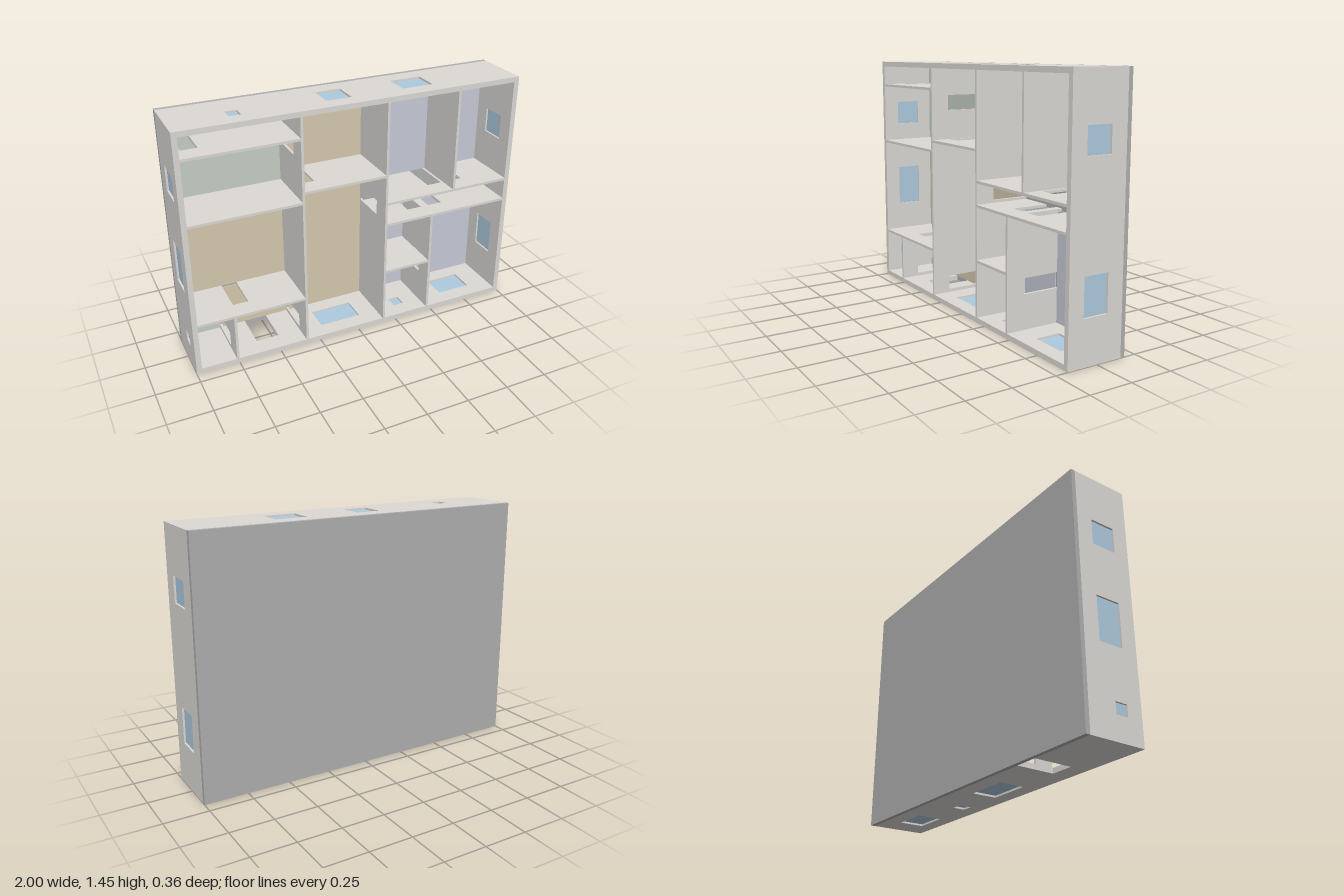
import * as THREE from 'three';

const FLOOR = -0.155, TOP = 0.18, H = 1.445, DOOR = 0.07, SILL = -0.06, HEAD = 0.088;
const mat = (color) => new THREE.MeshStandardMaterial({ color });

export function createModel() {
  const model = new THREE.Group();
  const wallMat = mat(0xdddad6), slabMat = mat(0xb0b0b0), glassMat = mat(0xaecbdf);
  const tan = mat(0xd6c9ae), green = mat(0xc6cfc6), blue = mat(0xc8ccd8);

  // box given by its limits on each axis
  const box = (name, material, x0, x1, y0, y1, z0, z1) => {
    const m = new THREE.Mesh(new THREE.BoxGeometry(x1 - x0, y1 - y0, z1 - z0), material);
    m.position.set((x0 + x1) / 2, (y0 + y1) / 2, (z0 + z1) / 2);
    m.name = name;
    model.add(m);
  };

  // wall running along x or y: doors are notches from the floor, windows are glazed holes
  const wall = (name, axis, x0, x1, y0, y1, { doors = [], windows = [] } = {}) => {
    const alongX = axis === 'x';
    const [a, b] = alongX ? [x0, x1] : [y0, y1];
    const s = new THREE.Shape();
    s.moveTo(a, FLOOR);
    for (const [d0, d1] of doors) {
      s.lineTo(d0, FLOOR);
      s.lineTo(d0, DOOR);
      s.lineTo(d1, DOOR);
      s.lineTo(d1, FLOOR);
    }
    s.lineTo(b, FLOOR);
    s.lineTo(b, TOP);
    s.lineTo(a, TOP);
    s.closePath();
    for (const [w0, w1, sill = SILL] of windows) {
      s.holes.push(new THREE.Path([[w0, sill], [w0, HEAD], [w1, HEAD], [w1, sill]]
        .map(([u, v]) => new THREE.Vector2(u, v))));
      const cx = (x0 + x1) / 2, cy = (y0 + y1) / 2, t = 0.004;
      if (alongX) box('windowPane', glassMat, w0, w1, cy - t, cy + t, sill, HEAD);
      else box('windowPane', glassMat, cx - t, cx + t, w0, w1, sill, HEAD);
    }
    const depth = alongX ? y1 - y0 : x1 - x0;
    const geo = new THREE.ExtrudeGeometry(s, { depth, bevelEnabled: false });
    const v = (x, y, z) => new THREE.Vector3(x, y, z);
    const basis = new THREE.Matrix4();
    if (alongX) basis.makeBasis(v(1, 0, 0), v(0, 0, 1), v(0, -1, 0)).setPosition(0, y1, 0);
    else basis.makeBasis(v(0, 1, 0), v(0, 0, 1), v(1, 0, 0)).setPosition(x0, 0, 0);
    geo.applyMatrix4(basis);
    const m = new THREE.Mesh(geo, wallMat);
    m.name = name;
    model.add(m);
  };

  // base slab behind every room
  box('baseSlab', slabMat, -1, 1, 0, H, -0.18, FLOOR);

  // outer walls
  wall('outerWallBottom', 'x', -1, 1, 0, 0.03, {
    doors: [[-0.61, -0.475]],
    windows: [[-0.205, 0.045], [0.288, 0.353, 0.015], [0.62, 0.83]],
  });
  wall('outerWallTop', 'x', -1, 1, H - 0.03, H, {
    windows: [[-0.685, -0.62, 0.015], [-0.155, -0.01], [0.3, 0.485]],
  });
  wall('outerWallRight', 'y', -1, -0.97, 0.03, H - 0.03, {
    windows: [[0.135, 0.2, 0.015], [0.49, 0.74], [1.035, 1.18]],
  });
  wall('outerWallLeft', 'y', 0.97, 1, 0.03, H - 0.03, {
    windows: [[0.25, 0.46], [1.035, 1.18]],
  });

  // partitions running the full height
  wall('partition', 'y', -0.34, -0.325, 0.03, H - 0.03, { doors: [[0.05, 0.135], [1.165, 1.255]] });
  wall('partition', 'y', 0.163, 0.177, 0.03, H - 0.03, { doors: [[0.695, 0.785]] });

  // partitions of the right-hand column
  wall('partition', 'x', -0.97, -0.34, 1.285, 1.3, { doors: [[-0.94, -0.85]] });
  wall('partition', 'x', -0.97, -0.34, 0.915, 0.93);
  wall('partition', 'x', -0.97, -0.34, 0.305, 0.32, { doors: [[-0.735, -0.645]] });
  wall('partition', 'y', -0.765, -0.75, 0.03, 0.305, { doors: [[0.05, 0.14]] });

  // partition of the middle column
  wall('partition', 'x', -0.325, 0.163, 0.975, 0.99, { doors: [[-0.315, -0.225]] });

  // partitions of the left-hand column
  wall('partition', 'x', 0.177, 0.97, 0.8, 0.815, { doors: [[0.5, 0.59], [0.635, 0.73]] });
  wall('partition', 'x', 0.177, 0.97, 0.665, 0.68, { doors: [[0.37, 0.46], [0.51, 0.6]] });
  wall('partition', 'y', 0.605, 0.62, 0.815, H - 0.03);
  wall('partition', 'y', 0.465, 0.48, 0.03, 0.665, { doors: [[0.23, 0.32]] });
  wall('partition', 'x', 0.177, 0.465, 0.35, 0.365);

  // coloured room floors
  const rooms = [
    [green, -0.97, -0.34, 1.3, 1.415], [green, -0.97, -0.34, 0.93, 1.285],
    [tan, -0.97, -0.34, 0.32, 0.915], [green, -0.97, -0.765, 0.03, 0.305],
    [tan, -0.75, -0.34, 0.03, 0.305], [tan, -0.325, 0.163, 0.99, 1.415],
    [tan, -0.325, 0.163, 0.03, 0.975], [blue, 0.177, 0.605, 0.815, 1.415],
    [blue, 0.62, 0.97, 0.815, 1.415], [blue, 0.177, 0.465, 0.365, 0.665],
    [blue, 0.177, 0.465, 0.03, 0.35], [blue, 0.48, 0.97, 0.03, 0.665],
  ];
  for (const [m, x0, x1, y0, y1] of rooms) box('roomFloor', m, x0, x1, y0, y1, FLOOR, FLOOR + 0.005);

  return model;
}
